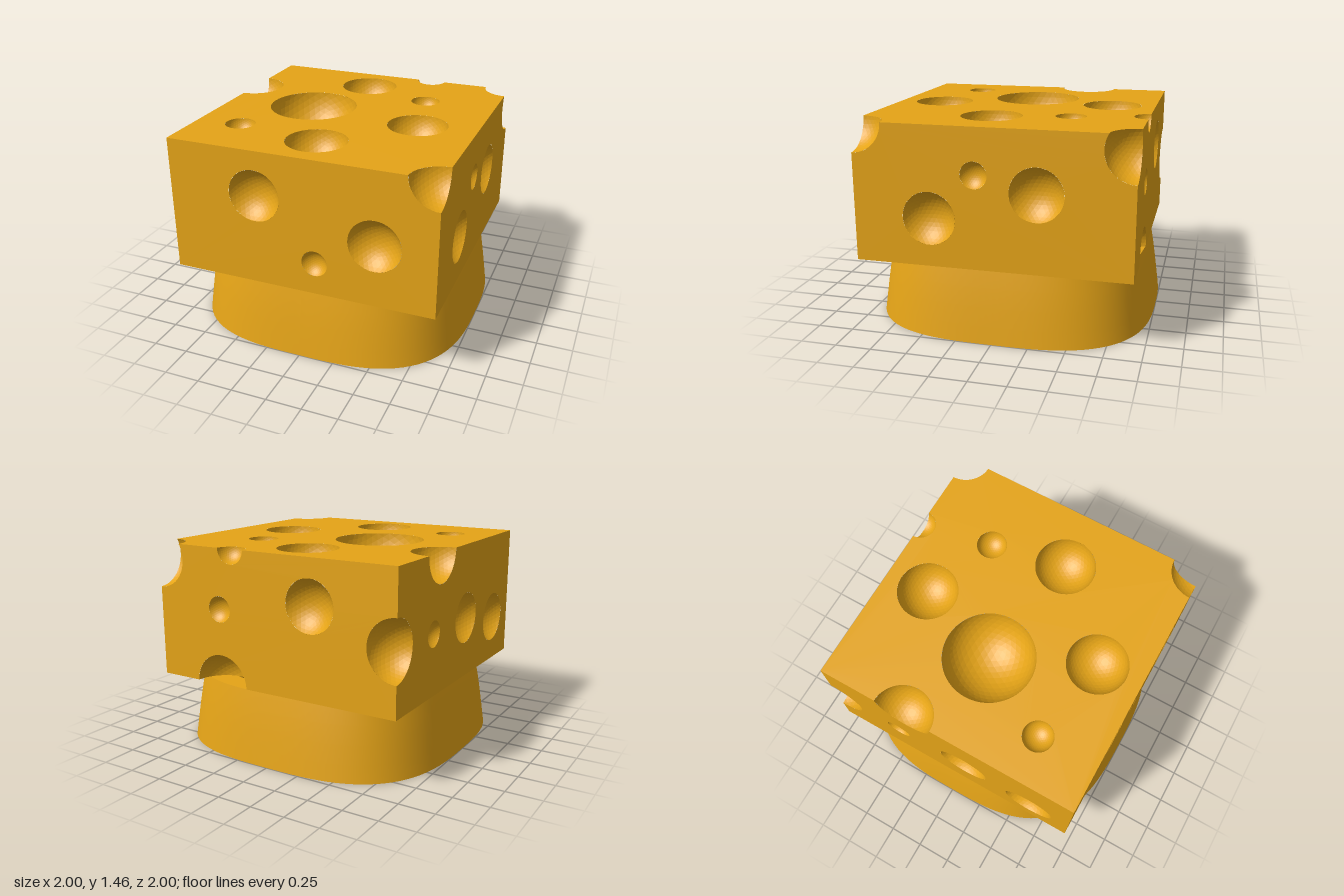
import * as THREE from 'three';
import { mergeGeometries } from 'three/addons/utils/BufferGeometryUtils.js';

const MIN = [-0.935, 0.5, -0.925], MAX = [0.94, 1.455, 0.955];
const R = 0.21, r = 0.105; // large and small bubble radii

// Bubbles: [x, y, z, radius]; wall bubbles sit half a radius outside the wall
const X1 = MAX[0], X0 = MIN[0], Y1 = MAX[1], Z1 = MAX[2], Z0 = MIN[2];
const BUBBLES = [
  // top
  [-0.31, Y1, -0.01, 0.314], [-0.1, Y1, -0.615, R], [0.525, Y1, 0.115, R], [0, Y1, 0.635, R],
  [0.42, Y1, -0.41, r], [-0.62, Y1, 0.53, r],
  // front
  [-0.31, 1.14, Z1 + R / 2, R], [0.525, 0.935, Z1 + R / 2, R], [0.11, 0.725, Z1 + r / 2, r],
  // back
  [-0.31, 1.14, Z0 - R / 2, R], [0.42, 1.035, Z0 - r / 2, r],
  // left (+x)
  [X1 + R / 2, 0.83, 0.43, R], [X1 + R / 2, 1.035, -0.295, R], [X1 + r / 2, 1.14, 0.12, r],
  // right (-x)
  [X0 - R / 2, 0.93, 0.125, R], [X0 - R / 2, 0.83, 0.645, R], [X0 - r / 2, 0.93, -0.405, r],
  // corners and edges
  [X1, Y1, Z1, R], [X1, 1.35, Z0, R], [X0, 0.935, Z0, R],
  [X0, Y1, -0.3, R], [0.315, Y1, Z0, r], [0.42, 0.5, Z0, R],
];

function flatGeometry(positions) {
  const g = new THREE.BufferGeometry();
  g.setAttribute('position', new THREE.Float32BufferAttribute(positions, 3));
  g.computeVertexNormals();
  return g;
}

// One wall of the block: a rectangle with circular holes and bites out of its border
function wall(axis, side) {
  const u = (axis + 1) % 3, v = (axis + 2) % 3;
  const plane = side > 0 ? MAX[axis] : MIN[axis];
  const [u0, u1, v0, v1] = [MIN[u], MAX[u], MIN[v], MAX[v]];
  const w = u1 - u0, h = v1 - v0, N = 120;
  const inside = (p) => p.x > u0 && p.x < u1 && p.y > v0 && p.y < v1;
  const clamp = (p) => p.clone().clamp(new THREE.Vector2(u0, v0), new THREE.Vector2(u1, v1));
  // distance of a border point along the counter-clockwise perimeter
  const along = (p) => {
    const e = 1e-6;
    if (p.y < v0 + e && p.x < u1 - e) return p.x - u0;
    if (p.x > u1 - e && p.y < v1 - e) return w + p.y - v0;
    if (p.y > v1 - e && p.x > u0 + e) return w + h + u1 - p.x;
    return 2 * w + h + v1 - p.y;
  };
  const holes = [], border = [], circles = [];
  for (const b of BUBBLES) {
    const rr = b[3] ** 2 - (b[axis] - plane) ** 2;
    if (rr < 1e-4) continue;
    const c = new THREE.Vector2(b[u], b[v]), rad = Math.sqrt(rr);
    const pts = Array.from({ length: N }, (_, i) => {
      const a = -2 * Math.PI * (i + 0.5) / N;
      return new THREE.Vector2(c.x + rad * Math.cos(a), c.y + rad * Math.sin(a));
    });
    const count = pts.filter(inside).length;
    if (count === N) holes.push(new THREE.Path(pts));
    else if (count > 0) {
      const start = pts.findIndex((p, i) => inside(p) && !inside(pts[(i + N - 1) % N]));
      const arc = [];
      for (let i = -1; i <= count; i++) arc.push(clamp(pts[(start + i + N) % N]));
      border.push({ s: along(arc[0]), pts: arc });
      circles.push({ c, rad });
    }
  }
  for (const [x, y] of [[u0, v0], [u1, v0], [u1, v1], [u0, v1]]) {
    const p = new THREE.Vector2(x, y);
    if (!circles.some((k) => k.c.distanceTo(p) < k.rad)) {
      border.push({ s: x === u0 && y === v0 ? 0 : along(p), pts: [p] });
    }
  }
  border.sort((a, b) => a.s - b.s);
  const shape = new THREE.Shape(border.flatMap((b) => b.pts));
  shape.holes = holes;
  const flat = new THREE.ShapeGeometry(shape).toNonIndexed().attributes.position;
  const out = [];
  for (let t = 0; t < flat.count; t += 3) {
    for (const k of side > 0 ? [0, 1, 2] : [0, 2, 1]) {
      const q = [0, 0, 0];
      q[axis] = plane; q[u] = flat.getX(t + k); q[v] = flat.getY(t + k);
      out.push(...q);
    }
  }
  return flatGeometry(out);
}

// Keep the part of a polygon on the inner side of one wall
function clipPolygon(poly, axis, limit, sign) {
  const out = [];
  poly.forEach((a, i) => {
    const b = poly[(i + 1) % poly.length];
    const da = (limit - a[axis]) * sign, db = (limit - b[axis]) * sign;
    if (da >= 0) out.push(a);
    if ((da >= 0) !== (db >= 0)) out.push(a.map((c, k) => c + (b[k] - c) * da / (da - db)));
  });
  return out;
}

// Hollow of a bubble: faceted sphere turned inside out and trimmed to the block
function hollow([x, y, z, radius]) {
  const p = new THREE.IcosahedronGeometry(radius, 7).translate(x, y, z).attributes.position;
  const out = [];
  for (let t = 0; t < p.count; t += 3) {
    let poly = [t, t + 2, t + 1].map((i) => [p.getX(i), p.getY(i), p.getZ(i)]);
    for (let k = 0; k < 3; k++) {
      poly = clipPolygon(poly, k, MAX[k], 1);
      poly = clipPolygon(poly, k, MIN[k], -1);
    }
    for (let i = 1; i + 1 < poly.length; i++) out.push(...poly[0], ...poly[i], ...poly[i + 1]);
  }
  return flatGeometry(out);
}

// Band of the base: a lathe squared off into a superellipse
function squareBand(profile) {
  const g = new THREE.LatheGeometry(profile.map(([a, b]) => new THREE.Vector2(a, b)), 128);
  const p = g.attributes.position;
  for (let i = 0; i < p.count; i++) {
    const x = p.getX(i), z = p.getZ(i);
    const k = Math.hypot(x, z) / Math.cbrt(Math.abs(x) ** 3 + Math.abs(z) ** 3);
    p.setX(i, x * k);
    p.setZ(i, z * k);
  }
  g.computeVertexNormals();
  return g;
}

export function createModel() {
  const group = new THREE.Group();
  const material = new THREE.MeshStandardMaterial({ color: 0xe5a417 });
  const add = (name, geometry) => {
    const mesh = new THREE.Mesh(geometry, material);
    mesh.name = name;
    group.add(mesh);
  };

  // Cheese block
  const walls = [];
  for (let axis = 0; axis < 3; axis++) walls.push(wall(axis, 1), wall(axis, -1));
  add('cheeseBlock', mergeGeometries(walls));
  add('cheeseHoles', mergeGeometries(BUBBLES.map(hollow)));

  // Hollow tapered base
  const outer = [[1, 0], [0.984, 0.12], [0.966, 0.25], [0.946, 0.38], [0.924, 0.5]];
  const inner = [[0.77, 0.5], [0.81, 0.25], [0.84, 0]];
  add('baseSkirt', mergeGeometries([
    squareBand(outer),
    squareBand(inner),
    squareBand([inner[2], outer[0]]),
    squareBand([outer[4], inner[0]]),
  ]));

  // Round stem with a cross-shaped socket
  const L = 0.215, W = 0.067;
  const stem = new THREE.Shape().absarc(0, 0, 0.303, 0, Math.PI * 2);
  stem.holes.push(new THREE.Path([
    [L, -W], [L, W], [W, W], [W, L], [-W, L], [-W, W],
    [-L, W], [-L, -W], [-W, -W], [-W, -L], [W, -L], [W, -W],
  ].map(([x, y]) => new THREE.Vector2(x, y))));
  add('stem', new THREE.ExtrudeGeometry(stem, { depth: 0.5, bevelEnabled: false, curveSegments: 64 })
    .rotateX(-Math.PI / 2));

  return group;
}
